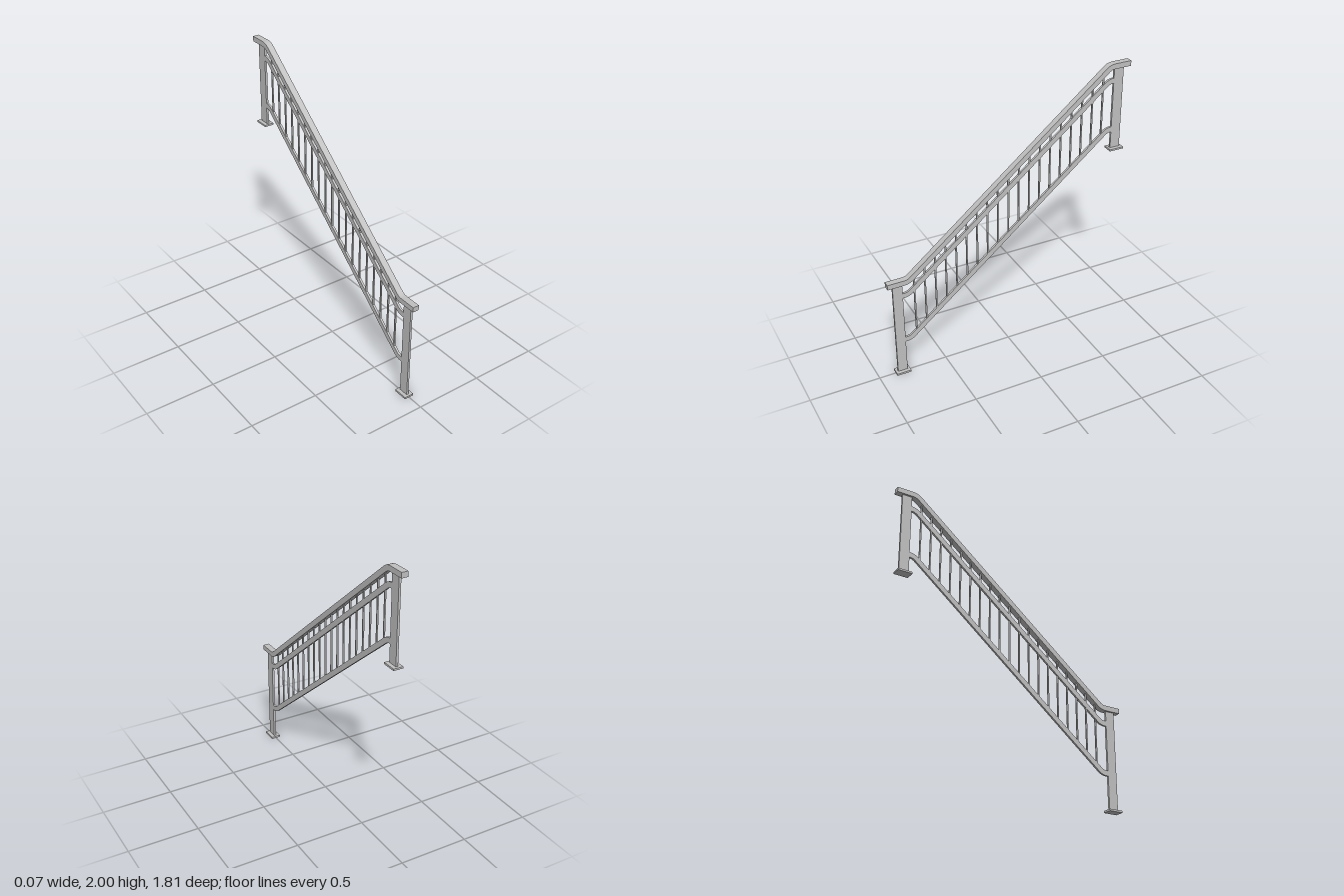
import * as THREE from 'three';

const metal = new THREE.MeshStandardMaterial({ color: 0xc0c0c0 });
metal.name = 'grey metal';

const BEND = 0.753; // z distance of the rail bends from the centre
const HALF = 0.0185; // half the rail depth

function add(group, name, geometry) {
  const mesh = new THREE.Mesh(geometry, metal);
  mesh.name = name;
  group.add(mesh);
  return mesh;
}

function addBox(group, name, w, y0, y1, z0, z1) {
  const mesh = add(group, name, new THREE.BoxGeometry(w, y1 - y0, z1 - z0));
  mesh.position.set(0, (y0 + y1) / 2, (z0 + z1) / 2);
}

// Rail: flat, rounded bend, slope, rounded bend, flat
function railGeometry(width, zLow, yLow, zHigh, yHigh) {
  const low = new THREE.Vector2(BEND, yLow);
  const high = new THREE.Vector2(-BEND, yHigh);
  const along = high.clone().sub(low).normalize().multiplyScalar(0.03);
  const flat = new THREE.Vector2(-0.03, 0);
  const bend = (p, into, out) =>
    new THREE.QuadraticBezierCurve(p.clone().sub(into), p, p.clone().add(out)).getPoints(5);
  const line = [
    new THREE.Vector2(zLow, yLow),
    ...bend(low, flat, along),
    ...bend(high, along, flat),
    new THREE.Vector2(zHigh, yHigh),
  ];
  const upper = [];
  const lower = [];
  line.forEach((p, i) => {
    const a = line[Math.max(i - 1, 0)];
    const b = line[Math.min(i + 1, line.length - 1)];
    const t = b.clone().sub(a).normalize();
    // keep the end cuts vertical
    const n = i === 0 || i === line.length - 1
      ? new THREE.Vector2(0, 1) : new THREE.Vector2(t.y, -t.x);
    upper.push(p.clone().addScaledVector(n, HALF));
    lower.push(p.clone().addScaledVector(n, -HALF));
  });
  // make both sides use the same upward direction
  const up = upper[1].y > lower[1].y;
  const [top, bottom] = up ? [upper, lower] : [
    [upper[0], ...lower.slice(1, -1), upper.at(-1)],
    [lower[0], ...upper.slice(1, -1), lower.at(-1)],
  ];
  const shape = new THREE.Shape([...top, ...bottom.reverse()]);
  const g = new THREE.ExtrudeGeometry(shape, { depth: width, bevelEnabled: false });
  g.translate(0, 0, -width / 2);
  g.rotateY(-Math.PI / 2);
  return g;
}

export function createModel() {
  const model = new THREE.Group();
  model.name = 'stairRailing';

  // Flat-bar posts on base plates
  addBox(model, 'lowerPost', 0.016, 0.01, 0.73, 0.794, 0.864);
  addBox(model, 'lowerBasePlate', 0.07, 0, 0.014, 0.777, 0.881);
  addBox(model, 'upperPost', 0.016, 1.37, 1.968, -0.857, -0.785);
  addBox(model, 'upperBasePlate', 0.07, 1.361, 1.374, -0.874, -0.769);

  // Handrail and the two thinner rails
  add(model, 'handrail', railGeometry(0.046, 0.903, 0.746, -0.903, 1.9815));
  add(model, 'middleRail', railGeometry(0.016, 0.796, 0.636, -0.787, 1.873));
  add(model, 'bottomRail', railGeometry(0.016, 0.796, 0.271, -0.787, 1.515));

  // Balusters between the bottom rail and the handrail
  const count = 19;
  for (let i = 0; i < count; i++) {
    const z = 0.706 - (i * 1.413) / (count - 1);
    const t = (BEND - z) / (2 * BEND);
    const y0 = THREE.MathUtils.lerp(0.271, 1.515, t);
    const y1 = THREE.MathUtils.lerp(0.746, 1.9815, t);
    addBox(model, 'baluster', 0.01, y0, y1, z - 0.005, z + 0.005);
  }
  return model;
}
